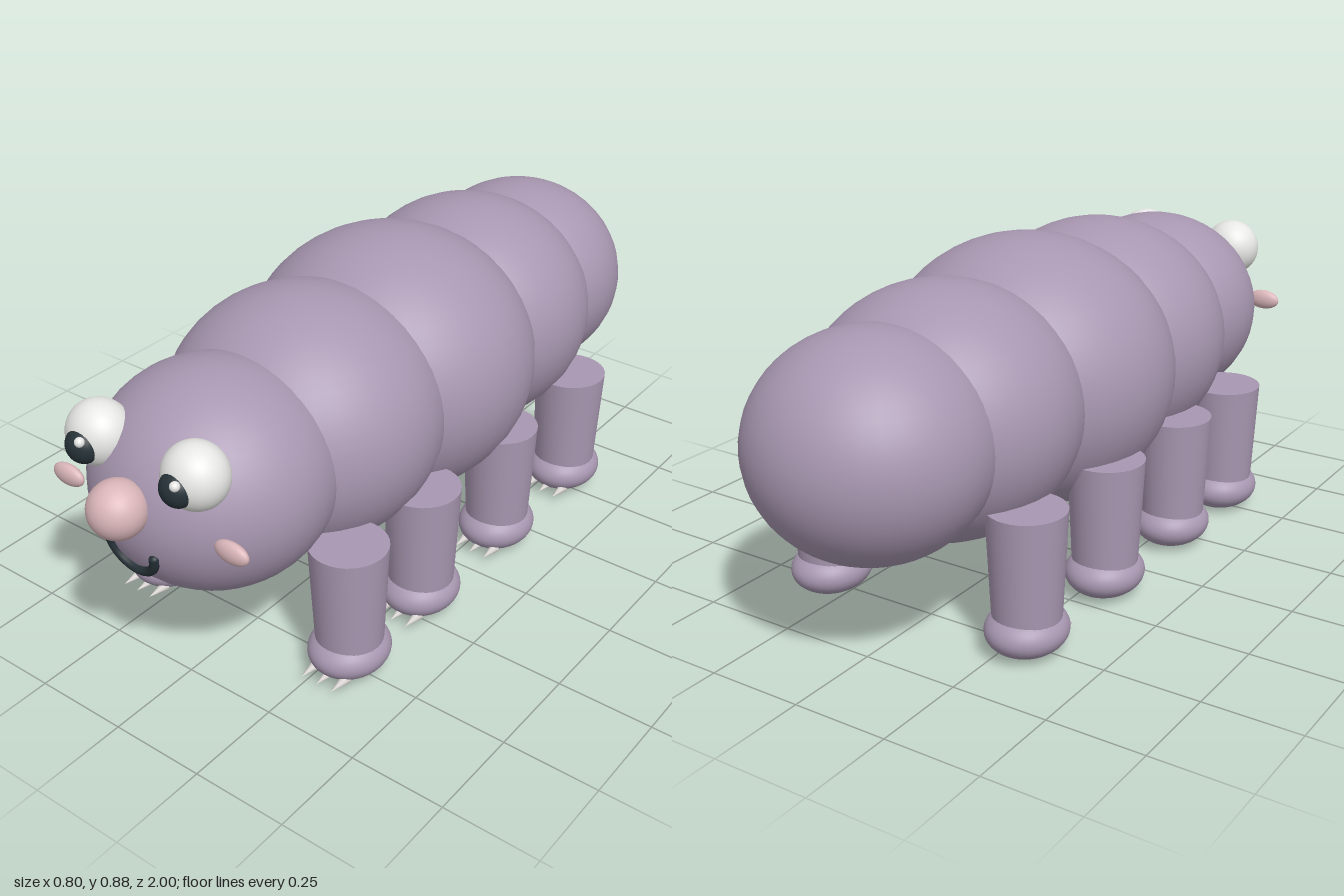
import * as THREE from 'three';

const material = (name, color) => {
  const m = new THREE.MeshStandardMaterial({ color });
  m.name = name;
  return m;
};

export function createModel() {
  const model = new THREE.Group();
  model.name = 'caterpillarBear';
  const skin = material('mauveSkin', 0xa897b1);
  const pink = material('softPink', 0xdab6ba);
  const white = material('eyeWhite', 0xebebe9);
  const dark = material('darkSlate', 0x263238);
  const clawGrey = material('clawGrey', 0xd6d2d0);

  const ball = new THREE.SphereGeometry(1, 40, 28);
  const add = (parent, name, geometry, mat, x, y, z) => {
    const mesh = new THREE.Mesh(geometry, mat);
    mesh.name = name;
    mesh.position.set(x, y, z);
    parent.add(mesh);
    return mesh;
  };
  const ellipsoid = (parent, name, mat, x, y, z, rx, ry, rz) => {
    const mesh = add(parent, name, ball, mat, x, y, z);
    mesh.scale.set(rx, ry, rz);
    return mesh;
  };

  // Head, body segments and rump: overlapping, slightly flattened balls
  [
    ['head', 0.62, 0.297, 0.275],
    ['shoulderSegment', 0.29, 0.355, 0.328],
    ['middleSegment', -0.065, 0.387, 0.356],
    ['hipSegment', -0.43, 0.345, 0.318],
    ['rump', -0.702, 0.297, 0.275],
  ].forEach(([name, z, r, ry]) => ellipsoid(model, name, skin, 0, 0.524, z, r, ry, r));

  // Face
  ellipsoid(model, 'nose', pink, 0, 0.583, 0.93, 0.07, 0.07, 0.07);
  for (const side of [-1, 1]) {
    const prefix = side > 0 ? 'left' : 'right';
    ellipsoid(model, prefix + 'Eye', white, side * 0.146, 0.677, 0.83, 0.08, 0.08, 0.075);
    ellipsoid(model, prefix + 'Pupil', dark, side * 0.143, 0.67, 0.886, 0.043, 0.043, 0.036);
    ellipsoid(model, prefix + 'EyeGlint', white, side * 0.143 + 0.018, 0.696, 0.909, 0.012, 0.012, 0.012);
    ellipsoid(model, prefix + 'Cheek', pink, side * 0.252, 0.527, 0.845, 0.048, 0.028, 0.018);
  }

  // Smiling mouth: half ring with rounded ends, leaning with the face
  const mouth = new THREE.Group();
  mouth.name = 'mouth';
  mouth.position.set(0, 0.46, 0.9);
  mouth.rotation.x = 0.2;
  model.add(mouth);
  const smile = add(mouth, 'smile', new THREE.TorusGeometry(0.066, 0.012, 12, 32, Math.PI), dark, 0, 0, 0);
  smile.rotation.z = Math.PI;
  for (const side of [-1, 1])
    ellipsoid(mouth, 'smileCorner', dark, side * 0.068, 0, 0, 0.012, 0.01, 0.012);

  // Eight legs, each with a flattened foot and three claws
  const legShape = new THREE.CylinderGeometry(0.098, 0.084, 0.29, 32);
  const clawShape = new THREE.ConeGeometry(0.014, 0.06, 12).rotateX(Math.PI / 2);
  for (const z of [0.5, 0.2, -0.16, -0.52]) {
    for (const side of [-1, 1]) {
      const leg = new THREE.Group();
      leg.name = side > 0 ? 'leftLeg' : 'rightLeg';
      leg.position.set(side * 0.3, 0, z);
      model.add(leg);
      add(leg, 'shin', legShape, skin, 0, 0.225, 0);
      ellipsoid(leg, 'foot', skin, 0, 0.063, 0, 0.1, 0.063, 0.11);
      for (const x of [-0.045, 0, 0.045])
        add(leg, 'claw', clawShape, clawGrey, x, 0.03, 0.103);
    }
  }
  return model;
}
